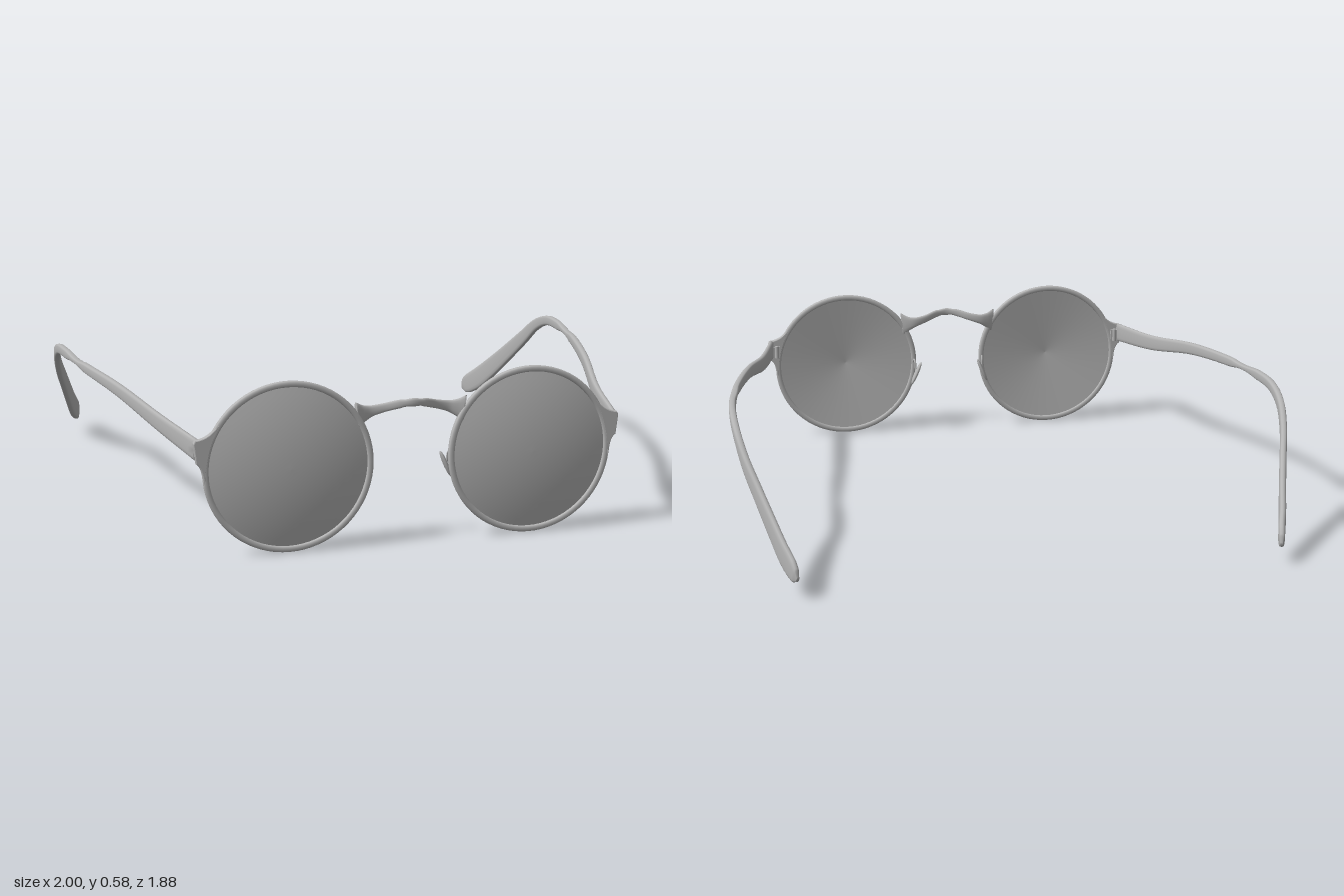
import * as THREE from 'three';

const metal = new THREE.MeshStandardMaterial({ color: 0xb4b4b4, side: THREE.DoubleSide });
metal.name = 'grey';

const LENS_X = 0.424, LENS_Y = 0.293, RIM_R = 0.292, RIM_Z = 0.906;

function part(name, geometry, parent) {
  const mesh = new THREE.Mesh(geometry, metal);
  mesh.name = name;
  parent.add(mesh);
  return mesh;
}

// Smooth bar through stations [x, y, z, height, width] with a rounded-box section
function loft(stations, steps, power = 0.6, sides = 16) {
  const path = new THREE.CatmullRomCurve3(stations.map(s => new THREE.Vector3(s[0], s[1], s[2])));
  const size = new THREE.CatmullRomCurve3(stations.map(s => new THREE.Vector3(s[3], s[4], 0)));
  const worldUp = new THREE.Vector3(0, 1, 0);
  const bend = v => Math.sign(v) * Math.abs(v) ** power;
  const pos = [], index = [];
  for (let i = 0; i <= steps; i++) {
    const t = i / steps;
    const c = path.getPoint(t), d = path.getTangent(t), s = size.getPoint(t);
    const side = new THREE.Vector3().crossVectors(d, worldUp).normalize();
    const up = new THREE.Vector3().crossVectors(side, d);
    for (let j = 0; j < sides; j++) {
      const a = (j / sides) * Math.PI * 2;
      const p = c.clone()
        .addScaledVector(side, bend(Math.cos(a)) * s.y / 2)
        .addScaledVector(up, bend(Math.sin(a)) * s.x / 2);
      pos.push(p.x, p.y, p.z);
      if (i < steps) {
        const k = i * sides + j, n = i * sides + (j + 1) % sides;
        index.push(k, n, k + sides, n, n + sides, k + sides);
      }
    }
  }
  // end caps
  for (let j = 1; j < sides - 1; j++) {
    const e = steps * sides;
    index.push(0, j + 1, j, e, e + j, e + j + 1);
  }
  const g = new THREE.BufferGeometry();
  g.setAttribute('position', new THREE.Float32BufferAttribute(pos, 3));
  g.setIndex(index);
  g.computeVertexNormals();
  return g;
}

// Lathe around the z axis; points are [radius, z]
function latheZ(points) {
  const g = new THREE.LatheGeometry(points.map(p => new THREE.Vector2(p[0], p[1])), 72);
  return g.rotateX(Math.PI / 2);
}

// One side of the glasses, built on +x; s = -1 mirrors the geometry
function buildSide(s) {
  const side = new THREE.Group();
  side.name = s > 0 ? 'leftSide' : 'rightSide';
  const mirror = g => {
    if (s > 0) return g;
    g.scale(-1, 1, 1);
    if (g.index) {
      const a = g.index.array;
      for (let i = 0; i < a.length; i += 3) [a[i], a[i + 1]] = [a[i + 1], a[i]];
    } else {
      for (const at of Object.values(g.attributes)) {
        const n = at.itemSize, a = at.array;
        for (let i = 0; i < a.length; i += 3 * n)
          for (let k = 0; k < n; k++) [a[i + k], a[i + n + k]] = [a[i + n + k], a[i + k]];
      }
    }
    return g;
  };
  const add = (name, g) => part(name, mirror(g), side);

  // rim: ring with softly rounded section
  const rim = [];
  for (let i = 0; i <= 12; i++) {
    const a = (-i / 12) * Math.PI * 2;
    const f = v => Math.sign(v) * Math.abs(v) ** 0.7;
    rim.push([RIM_R - 0.0105 + 0.0105 * f(Math.cos(a)), 0.011 * f(Math.sin(a))]);
  }
  add('rim', latheZ(rim.reverse()).translate(LENS_X, LENS_Y, RIM_Z));

  // lens: domed front, shallow hollow back
  const dome = [];
  for (let i = 0; i <= 10; i++) {
    const r = 0.276 * (1 - i / 10);
    dome.push([r, 0.034 * (1 - (r / 0.276) ** 2)]);
  }
  add('lensFront', latheZ(dome).translate(LENS_X, LENS_Y, RIM_Z));
  add('lensBack', latheZ([[0, 0.026], [0.276, -0.003]]).translate(LENS_X, LENS_Y, RIM_Z));

  // end piece flaring from the rim to the hinge
  const shape = new THREE.Shape();
  shape.moveTo(0.662, 0.45);
  shape.quadraticCurveTo(0.69, 0.408, 0.738, 0.403);
  shape.lineTo(0.742, 0.395);
  shape.lineTo(0.734, 0.328);
  shape.quadraticCurveTo(0.712, 0.315, 0.71, 0.255);
  shape.quadraticCurveTo(0.706, 0.36, 0.662, 0.45);
  add('endPiece', new THREE.ExtrudeGeometry(shape, {
    depth: 0.016, bevelThickness: 0.003, bevelSize: 0.003, bevelSegments: 2, curveSegments: 10,
  }).translate(0, 0, 0.898));

  // hinge
  add('hingePlate', new THREE.BoxGeometry(0.028, 0.04, 0.012).translate(0.712, 0.365, 0.892));
  add('hingeBarrel', new THREE.CylinderGeometry(0.008, 0.008, 0.05, 14).translate(0.712, 0.365, 0.882));

  // temple arm with drooping, paddle-shaped tip
  add('temple', loft([
    [0.733, 0.372, 0.897, 0.074, 0.02],
    [0.797, 0.399, 0.6, 0.06, 0.023],
    [0.878, 0.447, 0.3, 0.046, 0.025],
    [0.947, 0.468, 0, 0.036, 0.025],
    [0.976, 0.475, -0.2, 0.036, 0.025],
    [0.986, 0.467, -0.35, 0.038, 0.025],
    [0.981, 0.428, -0.46, 0.045, 0.025],
    [0.963, 0.36, -0.55, 0.055, 0.025],
    [0.93, 0.275, -0.65, 0.066, 0.025],
    [0.897, 0.193, -0.75, 0.079, 0.025],
    [0.87, 0.13, -0.835, 0.086, 0.025],
    [0.85, 0.096, -0.89, 0.08, 0.024],
    [0.842, 0.081, -0.915, 0.062, 0.021],
    [0.836, 0.071, -0.933, 0.015, 0.01],
  ], 90));

  // nose pad and its wire
  const pad = new THREE.SphereGeometry(1, 20, 14).scale(0.008, 0.051, 0.016);
  add('nosePad', pad.rotateZ(0.42).translate(0.139, 0.25, 0.859));
  const wire = new THREE.CatmullRomCurve3([
    [0.148, 0.262, 0.905], [0.146, 0.288, 0.899], [0.143, 0.302, 0.888],
    [0.141, 0.292, 0.876], [0.14, 0.265, 0.87], [0.139, 0.25, 0.862],
  ].map(p => new THREE.Vector3(...p)));
  add('padWire', new THREE.TubeGeometry(wire, 24, 0.004, 8));
  return side;
}

export function createModel() {
  const model = new THREE.Group();
  model.name = 'roundGlasses';
  model.add(buildSide(1), buildSide(-1));

  // arched bridge, widening where it meets the rims
  const half = [
    [0.19, 0.452, 0.905, 0.092, 0.018],
    [0.165, 0.455, 0.897, 0.06, 0.017],
    [0.135, 0.461, 0.892, 0.038, 0.016],
    [0.09, 0.472, 0.9, 0.03, 0.015],
    [0.04, 0.486, 0.921, 0.029, 0.015],
  ];
  const stations = [
    ...half.map(p => [-p[0], ...p.slice(1)]),
    [0, 0.49, 0.929, 0.029, 0.015],
    ...half.slice().reverse(),
  ];
  part('bridge', loft(stations, 48, 0.8), model);
  return model;
}
